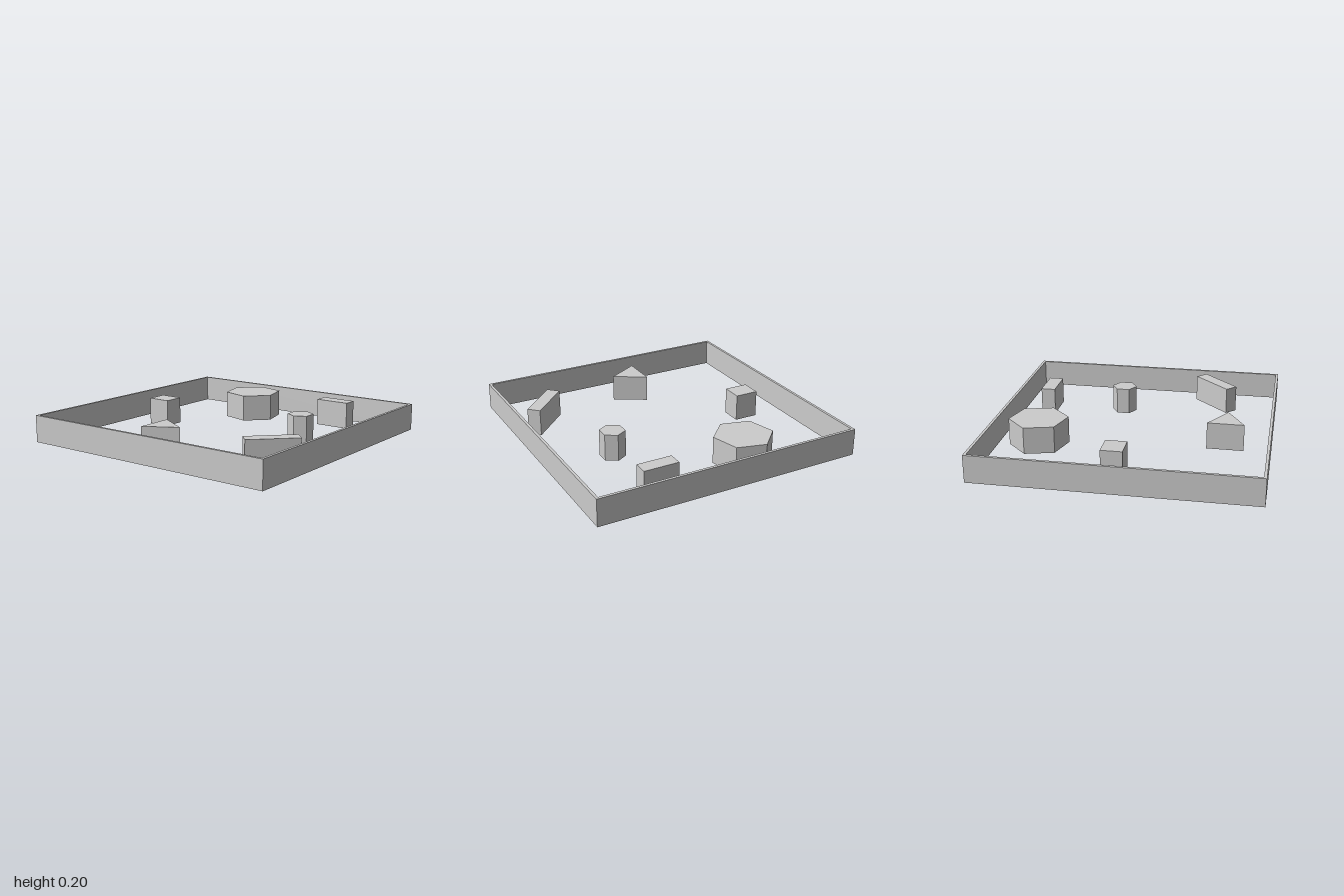
import * as THREE from 'three';

const HEIGHT = 0.2;
const WALL = 0.02;

export function createModel() {
  const model = new THREE.Group();
  const material = new THREE.MeshStandardMaterial({ color: 0xcccccc, flatShading: true });

  // Everything stands on the ground and shares one height
  const add = (name, geometry, x, z, degrees = 0) => {
    const mesh = new THREE.Mesh(geometry, material);
    mesh.name = name;
    mesh.position.set(x, HEIGHT / 2, z);
    mesh.rotation.y = THREE.MathUtils.degToRad(degrees);
    model.add(mesh);
  };
  const box = (width, depth) => new THREE.BoxGeometry(width, HEIGHT, depth);
  const prism = (radius, sides) => new THREE.CylinderGeometry(radius, radius, HEIGHT, sides);

  // Square arena wall, one mitre-free ring
  const outline = new THREE.Shape([[-1, -1], [1, -1], [1, 1], [-1, 1]].map(([x, y]) => new THREE.Vector2(x, y)));
  const r = 1 - WALL;
  outline.holes.push(new THREE.Path([[-r, -r], [-r, r], [r, r], [r, -r]].map(([x, y]) => new THREE.Vector2(x, y))));
  const ring = new THREE.ExtrudeGeometry(outline, { depth: HEIGHT, bevelEnabled: false });
  ring.rotateX(-Math.PI / 2).translate(0, -HEIGHT / 2, 0);
  add('arenaWall', ring, 0, 0);

  // Box obstacles
  add('squareBlock', box(0.177, 0.155), -0.67, -0.045);
  add('backBlock', box(0.262, 0.107), 0.454, -0.776);
  add('diagonalBlock', box(0.375, 0.1), 0.734, 0.515, 45);

  // Prism obstacles
  add('largeHexagon', prism(0.218, 6), -0.27, -0.684, 15);
  add('smallHexagon', prism(0.094, 6), 0.504, -0.193);
  add('trianglePrism', prism(0.156, 3), -0.076, 0.668, 90);

  return model;
}
